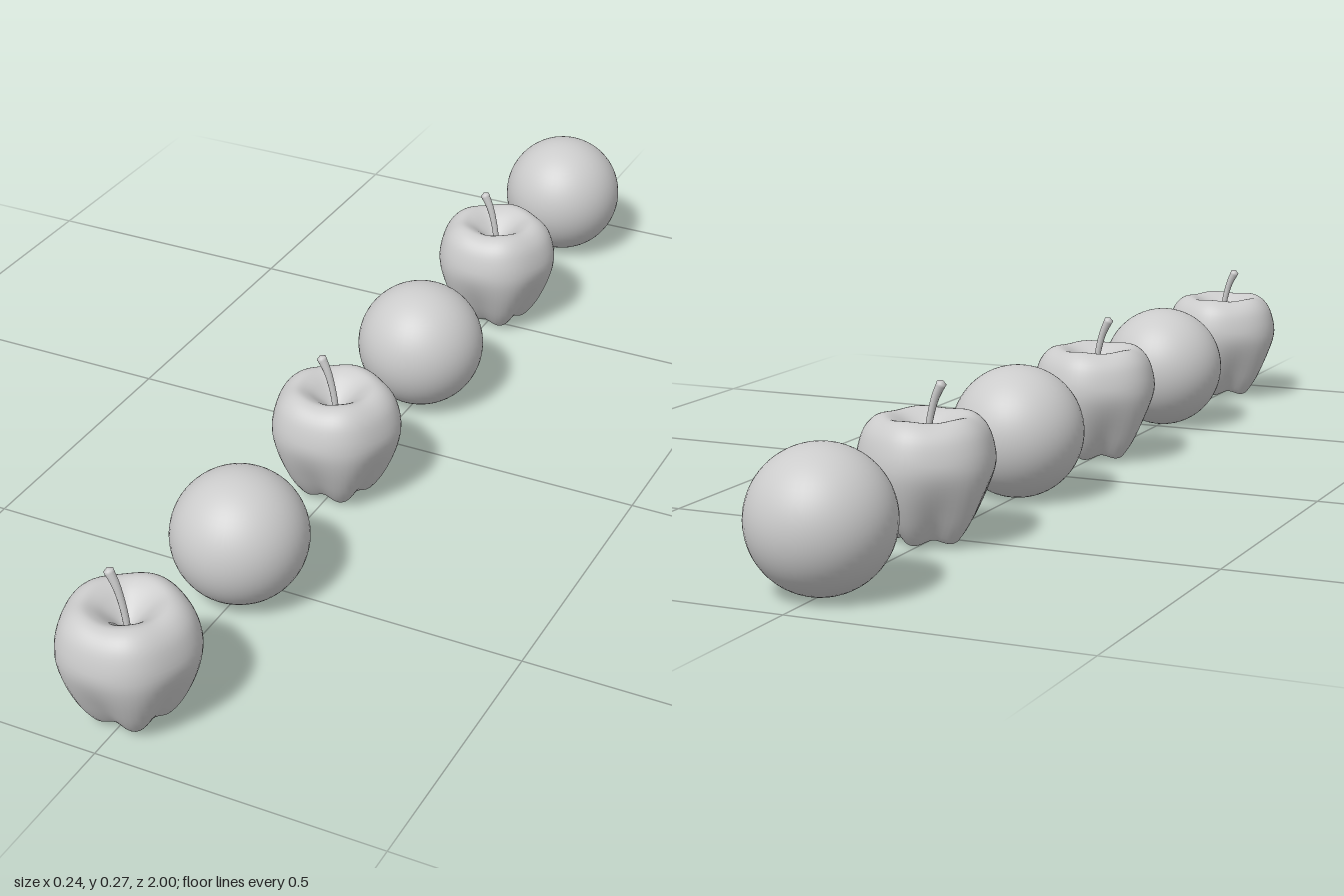
import * as THREE from 'three';
import { mergeVertices } from 'three/addons/utils/BufferGeometryUtils.js';

const material = new THREE.MeshStandardMaterial({ color: 0xcccccc });

// Weld the seam so the smooth normals run all the way round
function weld(geometry) {
  geometry.deleteAttribute('uv');
  geometry.deleteAttribute('normal');
  const welded = mergeVertices(geometry, 1e-5);
  welded.computeVertexNormals();
  return welded;
}

// Apple body: a turned profile pushed into five lobes, strongest near the base
function appleGeometry() {
  const profile = new THREE.SplineCurve([
    [0, 0.036], [0.018, 0.03], [0.036, 0.015], [0.05, 0.009], [0.062, 0.018],
    [0.083, 0.05], [0.106, 0.1], [0.1145, 0.14], [0.106, 0.181], [0.09, 0.204],
    [0.07, 0.2125], [0.05, 0.205], [0.03, 0.189], [0.012, 0.172], [0, 0.165],
  ].map(([x, y]) => new THREE.Vector2(x, y)));
  const points = profile.getPoints(56).map((p) => p.setX(Math.max(p.x, 0)));
  const geometry = new THREE.LatheGeometry(points, 60);
  const pos = geometry.attributes.position;
  for (let i = 0; i < pos.count; i++) {
    const x = pos.getX(i), y = pos.getY(i), z = pos.getZ(i);
    const lobe = -Math.cos(5 * Math.atan2(x, z));
    const low = 1 - THREE.MathUtils.smoothstep(y, 0.01, 0.15);
    const r = Math.hypot(x, z);
    const ring = THREE.MathUtils.smoothstep(r, 0, 0.05);
    const s = 1 + lobe * (0.018 + 0.07 * low);
    pos.setXYZ(i, x * s, y + lobe * ring * (y > 0.15 ? 0.0015 : -0.004 * low), z * s);
  }
  return weld(geometry);
}

// Curved stem that flares towards a closed, rounded tip
function stemGeometry() {
  const curve = new THREE.CatmullRomCurve3([
    [0.003, 0.155], [-0.001, 0.19], [-0.006, 0.215], [-0.014, 0.242], [-0.028, 0.271],
  ].map(([x, y]) => new THREE.Vector3(x, y, 0.003)));
  const rings = 24, sides = 12;
  const geometry = new THREE.TubeGeometry(curve, rings, 1, sides);
  const pos = geometry.attributes.position;
  const v = new THREE.Vector3();
  for (let i = 0; i < pos.count; i++) {
    const ring = Math.floor(i / (sides + 1));
    const t = ring / rings;
    const centre = curve.getPointAt(t);
    const radius = ring === rings ? 0 : 0.0055 + 0.0035 * t ** 3;
    v.fromBufferAttribute(pos, i).sub(centre).multiplyScalar(radius).add(centre);
    pos.setXYZ(i, v.x, v.y, v.z);
  }
  return weld(geometry);
}

export function createModel() {
  const model = new THREE.Group();
  const body = appleGeometry();
  const stem = stemGeometry();
  const ball = new THREE.SphereGeometry(0.118, 48, 32);
  const add = (parent, geometry, name) => {
    const mesh = new THREE.Mesh(geometry, material);
    mesh.name = name;
    parent.add(mesh);
    return mesh;
  };

  // Row of alternating apples and balls from front to back
  for (let i = 0; i < 3; i++) {
    const apple = new THREE.Group();
    apple.name = `apple${i + 1}`;
    add(apple, body, 'appleBody');
    add(apple, stem, 'appleStem');
    apple.position.z = 0.886 - i * 0.707;
    model.add(apple);
    add(model, ball, `ball${i + 1}`).position.set(0, 0.118, 0.532 - i * 0.707);
  }
  return model;
}
